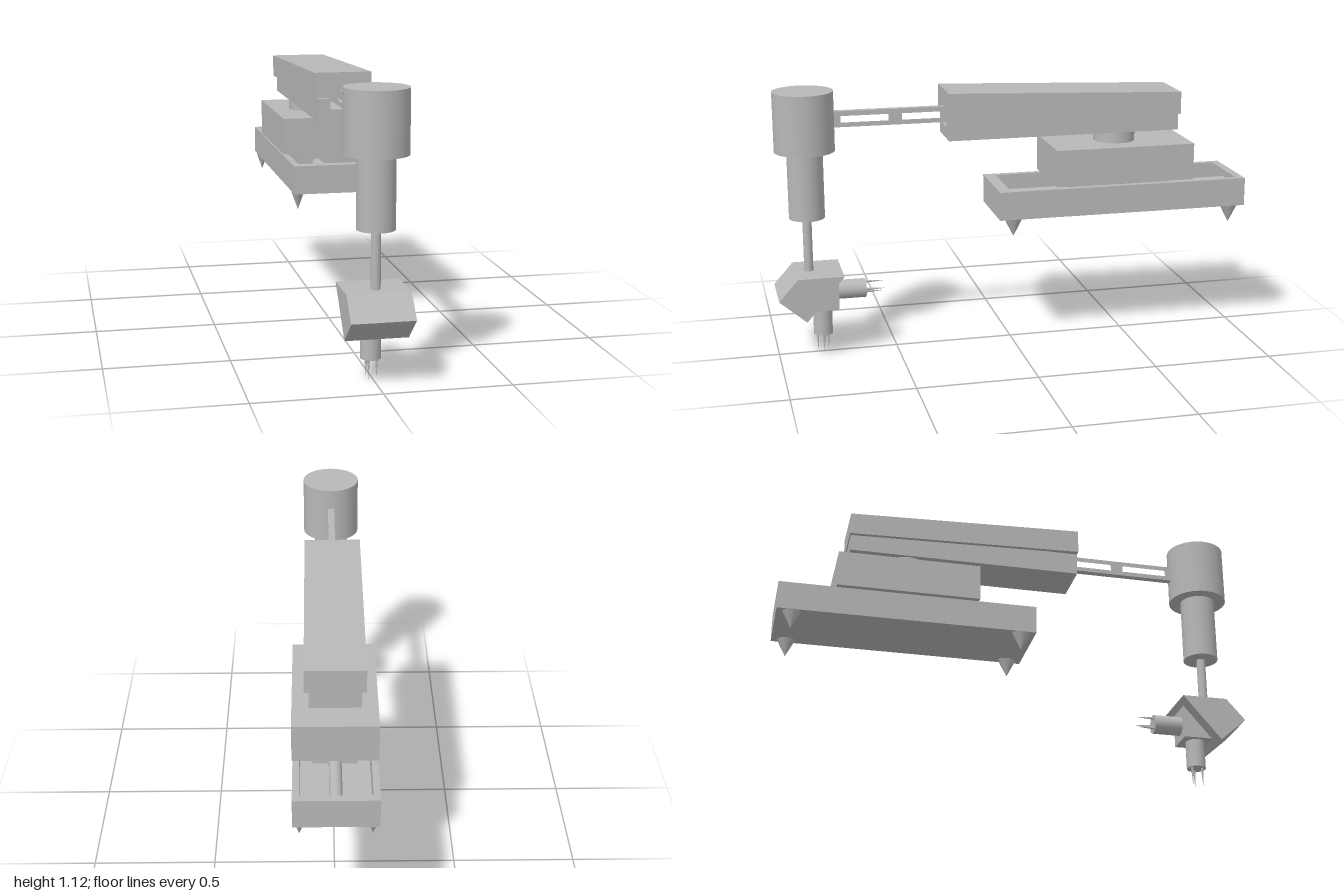
import * as THREE from 'three';

export function createModel() {
  const root = new THREE.Group();
  root.name = 'roboticArm';
  const grey = new THREE.MeshStandardMaterial({ color: 0xb8b8b8 });
  grey.name = 'plain grey';

  const add = (name, geo, x = 0, y = 0, z = 0, parent = root) => {
    const mesh = new THREE.Mesh(geo, grey);
    mesh.name = name;
    mesh.position.set(x, y, z);
    parent.add(mesh);
    return mesh;
  };
  // Box given by its limits, centred on x = 0
  const box = (name, halfW, y0, y1, z0, z1) =>
    add(name, new THREE.BoxGeometry(halfW * 2, y1 - y0, z1 - z0), 0, (y0 + y1) / 2, (z0 + z1) / 2);
  // Upright cylinder given by its limits
  const post = (name, r, y0, y1, z) =>
    add(name, new THREE.CylinderGeometry(r, r, y1 - y0, 40), 0, (y0 + y1) / 2, z);
  const path = (pts, T = THREE.Shape) => new T(pts.map(([a, b]) => new THREE.Vector2(a, b)));
  const rect = (a0, b0, a1, b1) => [[a0, b0], [a1, b0], [a1, b1], [a0, b1]];
  // Side profile in (z, y), extruded across the width
  const sideProfile = (name, pts, halfW, holes = []) => {
    const shape = path(pts.map(([z, y]) => [-z, y]));
    holes.forEach(h => shape.holes.push(path(h.map(([z, y]) => [-z, y]), THREE.Path)));
    const geo = new THREE.ExtrudeGeometry(shape, { depth: halfW * 2, bevelEnabled: false });
    geo.translate(0, 0, -halfW).rotateY(Math.PI / 2);
    return add(name, geo);
  };

  // Tray base: floor, rim, guide rod and pointed feet
  box('trayFloor', 0.163, 0.57, 0.59, -1, 0.08);
  const rim = path(rect(-0.163, -0.08, 0.163, 1));
  rim.holes.push(path(rect(-0.137, -0.03, 0.137, 0.966), THREE.Path));
  const rimGeo = new THREE.ExtrudeGeometry(rim, { depth: 0.1, bevelEnabled: false });
  add('trayRim', rimGeo.rotateX(-Math.PI / 2), 0, 0.59, 0);
  const rod = new THREE.CylinderGeometry(0.025, 0.025, 1, 24).rotateX(Math.PI / 2);
  add('guideRod', rod, 0, 0.635, -0.468);
  const footGeo = new THREE.ConeGeometry(0.027, 0.077, 24).rotateX(Math.PI).scale(1, 1, 1.45);
  for (const x of [-0.138, 0.138])
    for (const z of [0.018, -0.938]) add('foot', footGeo, x, 0.5325, z);

  // Sliding carriage and turntable
  box('carriageSlide', 0.088, 0.63, 0.71, -0.68, -0.25);
  box('carriage', 0.166, 0.7, 0.855, -0.762, -0.162);
  post('turntable', 0.088, 0.85, 0.91, -0.457);

  // Arm housing: channel that the boom slides in, with a sloping lid
  const channel = path([[-0.1, 0.905], [0.1, 0.905], [0.1, 1], [0.05, 1],
    [0.05, 0.955], [-0.05, 0.955], [-0.05, 1], [-0.1, 1]]);
  const channelGeo = new THREE.ExtrudeGeometry(channel, { depth: 0.96, bevelEnabled: false });
  add('armChannel', channelGeo, 0, 0, -0.68);
  box('armChannelBack', 0.1, 0.905, 0.99, -0.71, -0.68);
  sideProfile('armLid', [[0.283, 1.004], [0.283, 1.106], [-0.715, 1.07], [-0.715, 0.975]], 0.117);

  // Slotted boom
  const slots = [[0.515, 0.712], [0.26, 0.46]].map(([a, b]) => rect(a, 0.987, b, 1.014));
  sideProfile('boom', rect(0.1, 0.968, 0.76, 1.034), 0.014, slots);

  // Head and plunger
  post('headHousing', 0.124, 0.874, 1.122, 0.862);
  post('headSleeve', 0.074, 0.592, 0.876, 0.862);
  post('plungerRod', 0.019, 0.35, 0.594, 0.863);

  // Wrist wedge and the small block that carries the tools
  sideProfile('wristWedge', [[0.92, 0.363], [0.728, 0.363], [0.888, 0.176], [1, 0.273]], 0.124);
  sideProfile('toolBlock', [[0.747, 0.341], [0.747, 0.2], [0.867, 0.2]], 0.065);

  // Tool: a barrel with a cluster of needles
  const makeTool = (name) => {
    const tool = new THREE.Group();
    tool.name = name;
    add('toolBarrel', new THREE.CylinderGeometry(0.04, 0.04, 0.125, 32), 0, -0.0575, 0, tool);
    const needle = new THREE.ConeGeometry(0.006, 0.08, 10).rotateX(Math.PI);
    for (const [x, z] of [[-0.013, 0.022], [-0.013, -0.022], [0.024, 0]])
      add('needle', needle, x, -0.16, z, tool);
    root.add(tool);
    return tool;
  };
  makeTool('lowerTool').position.set(-0.006, 0.2, 0.811);
  const rear = makeTool('rearTool');
  rear.position.set(-0.006, 0.267, 0.747);
  rear.rotation.x = Math.PI / 2;

  return root;
}
